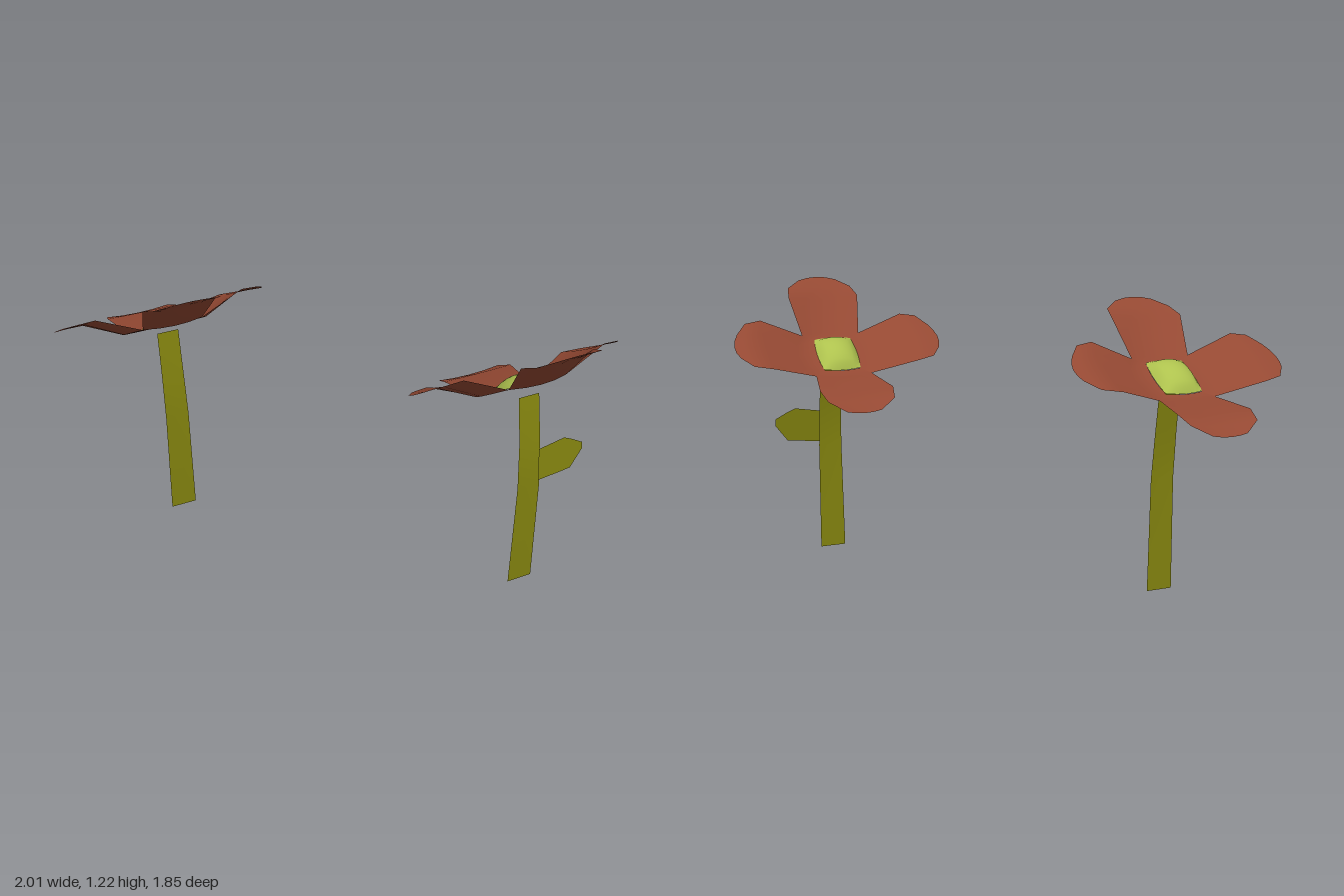
import * as THREE from 'three';

const mat = (name, color) => {
  const m = new THREE.MeshStandardMaterial({ color, side: THREE.DoubleSide });
  m.name = name;
  return m;
};

// Smooth surface through rows of points with equal counts
function sheet(name, rows, material) {
  const n = rows[0].length, index = [];
  for (let i = 0; i < rows.length - 1; i++) {
    for (let j = 0; j < n - 1; j++) {
      const a = i * n + j, b = a + n;
      index.push(a, a + 1, b, a + 1, b + 1, b);
    }
  }
  const geo = new THREE.BufferGeometry();
  geo.setAttribute('position', new THREE.Float32BufferAttribute(rows.flat(2), 3));
  geo.setIndex(index);
  geo.computeVertexNormals();
  const mesh = new THREE.Mesh(geo, material);
  mesh.name = name;
  return mesh;
}

// Five points on a curve from a to b that passes through m
function bow([a, m, b]) {
  const [A, M, B] = [a, m, b].map((p) => new THREE.Vector3(...p));
  const control = M.clone().multiplyScalar(2).addScaledVector(A, -0.5).addScaledVector(B, -0.5);
  return new THREE.QuadraticBezierCurve3(A, control, B).getPoints(4).map((p) => p.toArray());
}

// Petal cross-sections, from the hole in the flower's middle out to the tip
const sidePetal = [
  [[0.08, -0.055, -0.08], [0.09, 0, 0], [0.08, 0.055, 0.08]],
  [[0.125, -0.075, -0.11], [0.18, 0, 0], [0.13, 0.075, 0.107]],
  [[0.32, -0.02, -0.18], [0.33, 0.062, -0.04], [0.32, 0.155, 0.085]],
  [[0.40, -0.008, -0.155], [0.415, 0.062, -0.04], [0.39, 0.145, 0.075]],
  [[0.445, 0.022, -0.10], [0.46, 0.062, -0.035], [0.435, 0.107, 0.025]],
];
// Symmetric petals: left edge and middle of each section
const upperPetal = [
  [[-0.08, 0.055, 0.08], [0, 0.06, 0.087]],
  [[-0.13, 0.075, 0.107], [0, 0.08, 0.135]],
  [[-0.16, 0.235, 0.215], [0, 0.22, 0.235]],
  [[-0.145, 0.27, 0.285], [0, 0.267, 0.285]],
  [[-0.085, 0.30, 0.325], [0, 0.312, 0.338]],
];
const lowerPetal = [
  [[-0.08, -0.055, -0.08], [0, -0.06, -0.087]],
  [[-0.125, -0.075, -0.11], [0, -0.08, -0.125]],
  [[-0.16, -0.105, -0.305], [0, -0.11, -0.31]],
  [[-0.145, -0.14, -0.375], [0, -0.15, -0.375]],
  [[-0.075, -0.18, -0.415], [0, -0.188, -0.42]],
];
const flip = ([x, y, z]) => [-x, y, z];

function makeFlower(petalMat, centreMat) {
  const flower = new THREE.Group();
  flower.name = 'flower';
  const whole = (rows) => rows.map(([a, m]) => bow([a, m, flip(a)]));
  const side = sidePetal.map(bow);
  flower.add(
    sheet('leftPetal', side, petalMat),
    sheet('rightPetal', side.map((row) => row.map(flip).reverse()), petalMat),
    sheet('upperPetal', whole(upperPetal), petalMat),
    sheet('lowerPetal', whole(lowerPetal), petalMat),
  );

  // Pillow-shaped centre, open underneath, lying in the tilted flower plane
  const rows = [], N = 10;
  for (let i = 0; i <= N; i++) {
    const row = [];
    for (let j = 0; j <= N; j++) {
      const u = (2 * j) / N - 1, v = (2 * i) / N - 1;
      const h = 0.003 + 0.045 * Math.pow((1 - u * u) * (1 - v * v), 0.7);
      const w = 0.088 * v * (1 - 0.1 * u * u);
      row.push([0.091 * u * (1 - 0.1 * v * v), 0.69 * w + 0.82 * h, w - 0.57 * h]);
    }
    rows.push(row);
  }
  flower.add(sheet('flowerCentre', rows, centreMat));
  return flower;
}

export function createModel() {
  const petalMat = mat('petal red', 0x954933);
  const centreMat = mat('centre lime', 0xaec24e);
  const stemMat = mat('stem olive', 0x85850f);
  const model = new THREE.Group();
  model.name = 'flowers';

  // Two plants: flower position and tilt, stem middle and depth
  const plants = [
    { name: 'frontPlant', at: [0.54, 0.91, 0.585], tilt: 0, x: 0.56, z: 0.675, back: 0.055 },
    { name: 'backPlant', at: [-0.545, 0.907, -0.495], tilt: 0.077, x: -0.535, z: -0.445, back: 0.045 },
  ];
  for (const p of plants) {
    const plant = new THREE.Group();
    plant.name = p.name;
    const flower = makeFlower(petalMat, centreMat);
    flower.position.set(...p.at);
    flower.rotation.x = p.tilt;
    plant.add(flower);

    // Flat stem that bends back in its upper half
    const stem = [[0, 0.057, 0], [0.48, 0.052, 0], [0.68, 0.049, 0.02], [0.88, 0.047, p.back]]
      .map(([y, w, dz]) => [[p.x - w, y, p.z - dz], [p.x + w, y, p.z - dz]]);
    plant.add(sheet('stem', stem, stemMat));
    model.add(plant);
  }

  // Single leaf on the front stem
  const leaf = [[0.6, 0.5, 0.643], [0.72, 0.511, 0.663], [0.755, 0.515, 0.648], [0.81, 0.588, 0.618]]
    .map(([x, lo, hi]) => [lo, hi].map((y) => [x, y, 0.68 - (y - 0.51) * 0.1]));
  model.children[0].add(sheet('leaf', leaf, stemMat));
  return model;
}
